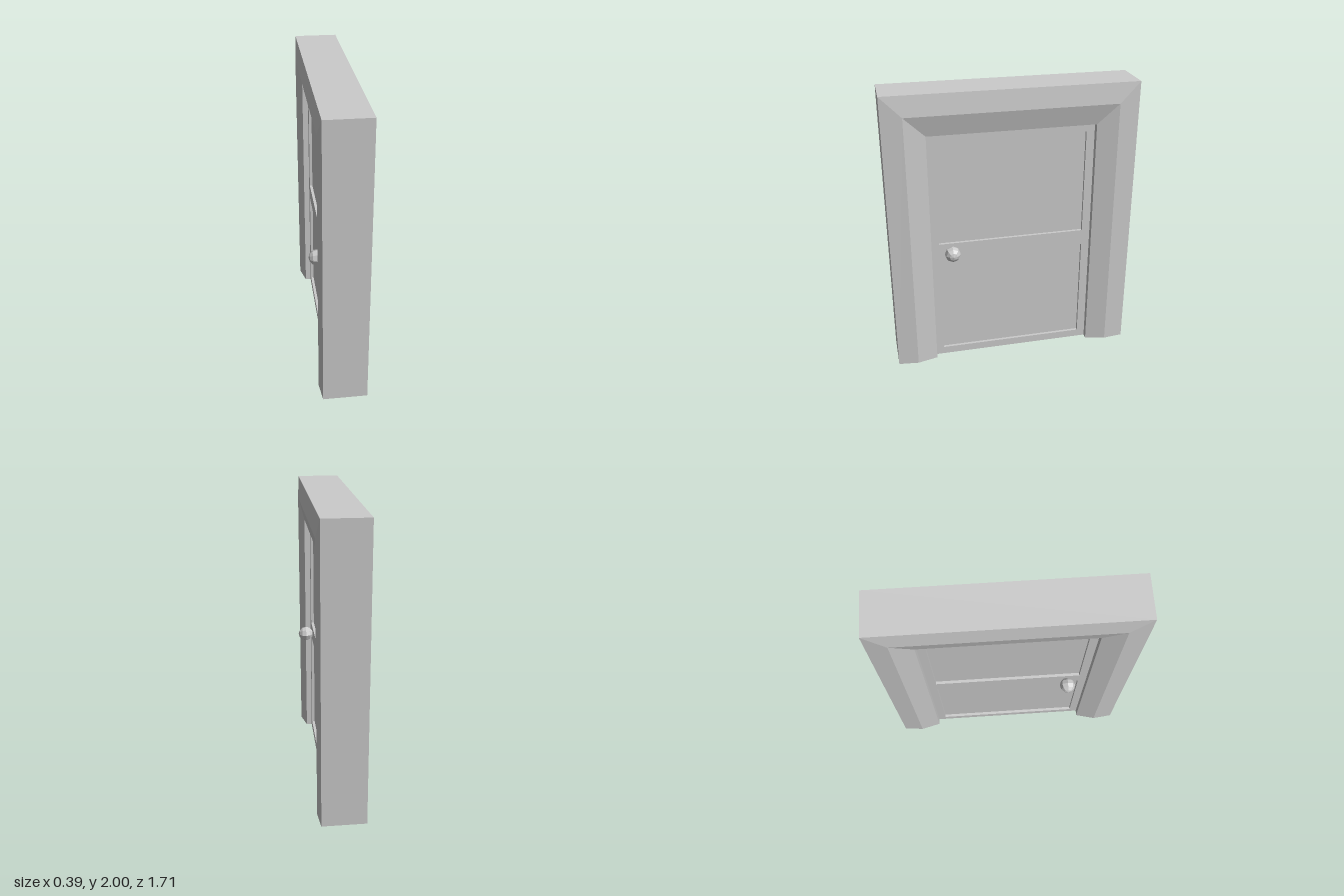
import * as THREE from 'three';

const HALF_WIDTH = 0.855, HEIGHT = 2, INSET = 0.282;
const grey = new THREE.MeshStandardMaterial({ color: 0xcccccc, flatShading: true });

function part(name, geometry, x = 0, y = 0, z = 0) {
  const mesh = new THREE.Mesh(geometry, grey);
  mesh.name = name;
  mesh.position.set(x, y, z);
  return mesh;
}

// Bevelled section [x, inset] swept up, across and down with mitred corners
function frameGeometry() {
  const profile = [
    [-0.15, 0], [0.15, 0], [0.165, 0.14],
    [0.13, INSET], [-0.13, INSET], [-0.165, 0.14],
  ];
  const stations = [[1, false], [1, true], [-1, true], [-1, false]];
  const n = profile.length;
  const positions = [], index = [];
  for (const [side, top] of stations) {
    for (const [x, d] of profile) {
      positions.push(x, top ? HEIGHT - d : 0, side * (HALF_WIDTH - d));
    }
  }
  for (let s = 0; s < 3; s++) {
    for (let i = 0; i < n; i++) {
      const a = s * n + i, b = s * n + (i + 1) % n;
      index.push(a, b, b + n, a, b + n, a + n);
    }
  }
  // Feet of the two jambs
  for (let i = 1; i < n - 1; i++) {
    index.push(0, i + 1, i);
    index.push(3 * n, 3 * n + i, 3 * n + i + 1);
  }
  const indexed = new THREE.BufferGeometry();
  indexed.setAttribute('position', new THREE.Float32BufferAttribute(positions, 3));
  indexed.setIndex(index);
  const geometry = indexed.toNonIndexed();
  geometry.computeVertexNormals();
  return geometry;
}

function rectangle(path, halfWidth, y0, y1) {
  path.moveTo(-halfWidth, y0);
  path.lineTo(halfWidth, y0);
  path.lineTo(halfWidth, y1);
  path.lineTo(-halfWidth, y1);
  path.closePath();
  return path;
}

export function createModel() {
  const model = new THREE.Group();
  model.name = 'door';

  model.add(part('frame', frameGeometry()));

  // Door leaf with two openings, closed by thinner recessed panels
  const panels = [[0.055, 0.804], [0.915, 1.66]];
  const panelHalf = 0.516, leafDepth = 0.18, panelDepth = 0.14;
  const leaf = rectangle(new THREE.Shape(), HALF_WIDTH - INSET, 0, HEIGHT - INSET);
  for (const [y0, y1] of panels) {
    leaf.holes.push(rectangle(new THREE.Path(), panelHalf, y0, y1));
  }
  const leafGeometry = new THREE.ExtrudeGeometry(leaf, { depth: leafDepth, bevelEnabled: false });
  leafGeometry.translate(0, 0, -leafDepth / 2).rotateY(Math.PI / 2);
  model.add(part('doorLeaf', leafGeometry));
  panels.forEach(([y0, y1], i) => {
    const panel = new THREE.BoxGeometry(panelDepth, y1 - y0, panelHalf * 2);
    model.add(part(i ? 'upperPanel' : 'lowerPanel', panel, 0, (y0 + y1) / 2, 0));
  });

  // Faceted knobs on both faces, poles pointing outward
  for (const side of [1, -1]) {
    const knob = new THREE.SphereGeometry(0.055, 8, 6).rotateZ(-side * Math.PI / 2);
    model.add(part(side > 0 ? 'leftKnob' : 'rightKnob', knob, side * 0.14, 0.858, 0.43));
  }

  return model;
}
